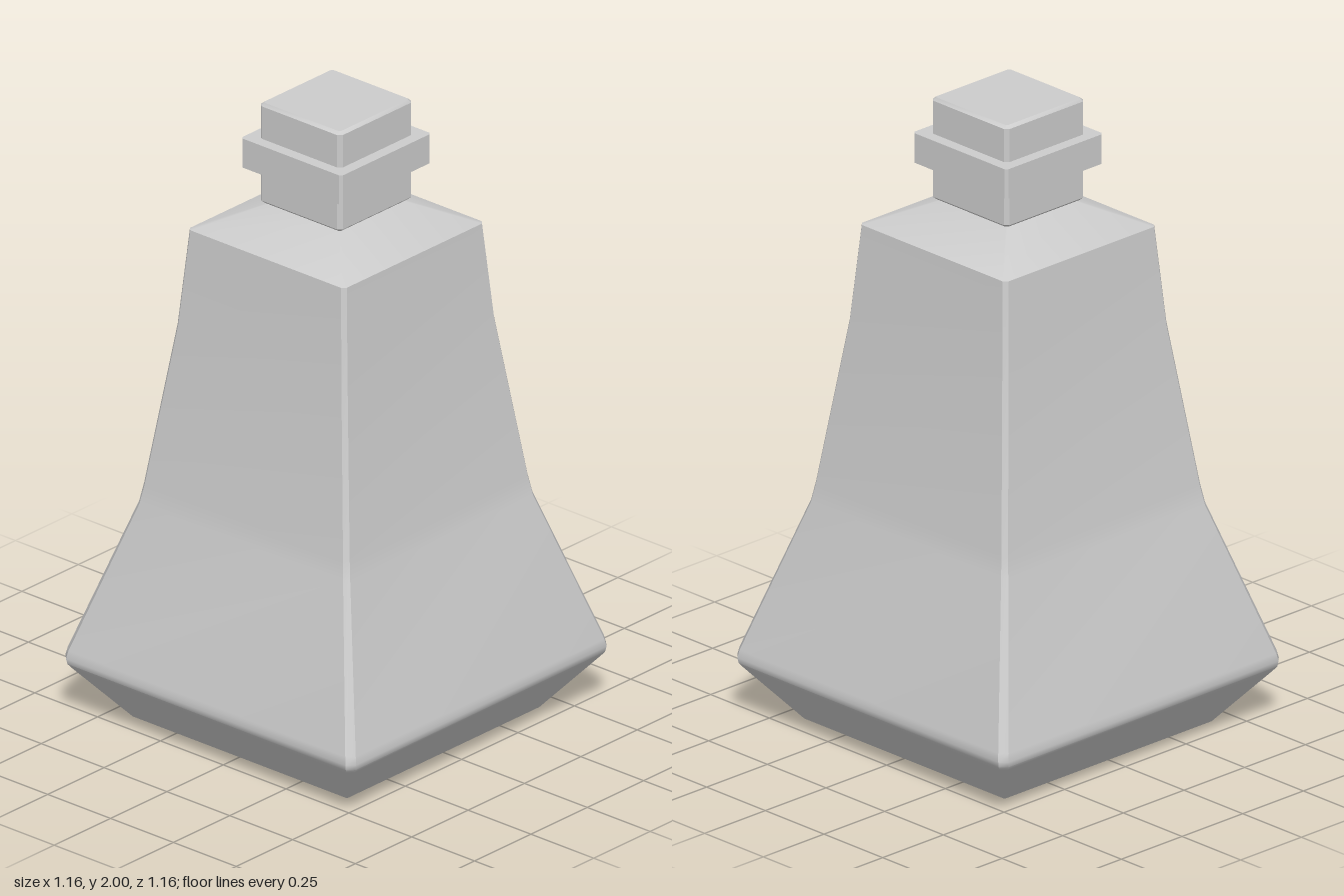
import * as THREE from 'three';
import { toCreasedNormals } from 'three/addons/utils/BufferGeometryUtils.js';

// Square cross-section with cut corners: 8 points around the y axis
function ring([y, half, cut]) {
  const inner = half - cut;
  const points = [];
  for (let k = 0; k < 4; k++) {
    const c = [1, 0, -1, 0][k], s = [0, 1, 0, -1][k];
    for (const t of [-inner, inner]) points.push(half * c - t * s, y, half * s + t * c);
  }
  return points;
}

// Skin over a stack of [height, half width, corner cut] sections, closed at both ends
function loft(name, sections, material) {
  const n = 8;
  const positions = sections.flatMap(ring);
  const index = [];
  for (let r = 0; r < sections.length - 1; r++) {
    for (let i = 0; i < n; i++) {
      const j = (i + 1) % n;
      const a = r * n + i, b = r * n + j, c = a + n, d = b + n;
      index.push(a, c, b, b, c, d);
    }
  }
  const top = (sections.length - 1) * n;
  for (let i = 1; i < n - 1; i++) {
    index.push(0, i, i + 1);
    index.push(top, top + i + 1, top + i);
  }
  const geometry = new THREE.BufferGeometry();
  geometry.setAttribute('position', new THREE.Float32BufferAttribute(positions, 3));
  geometry.setIndex(index);
  const mesh = new THREE.Mesh(toCreasedNormals(geometry, 0.6), material);
  mesh.name = name;
  return mesh;
}

export function createModel() {
  const group = new THREE.Group();
  group.name = 'squareBottle';
  const grey = new THREE.MeshStandardMaterial({ color: 0xcccccc });

  // Flared body with a tapered base and a sloping shoulder
  group.add(loft('bottleBody', [
    [0, 0.428, 0.003],
    [0.168, 0.563, 0.016],
    [0.182, 0.574, 0.02],
    [0.2, 0.578, 0.022],
    [0.225, 0.573, 0.022],
    [0.7, 0.42, 0.015],
    [0.76, 0.409, 0.014],
    [1.28, 0.338, 0.013],
    [1.59, 0.312, 0.012],
    [1.678, 0.125, 0.005],
  ], grey));

  // Bevelled stopper block
  group.add(loft('stopper', [
    [1.673, 0.153, 0.006],
    [1.682, 0.163, 0.012],
    [1.991, 0.163, 0.012],
    [2, 0.153, 0.006],
  ], grey));

  // Band around the stopper
  group.add(loft('stopperBand', [
    [1.79, 0.2, 0.008],
    [1.885, 0.2, 0.008],
  ], grey));

  return group;
}
